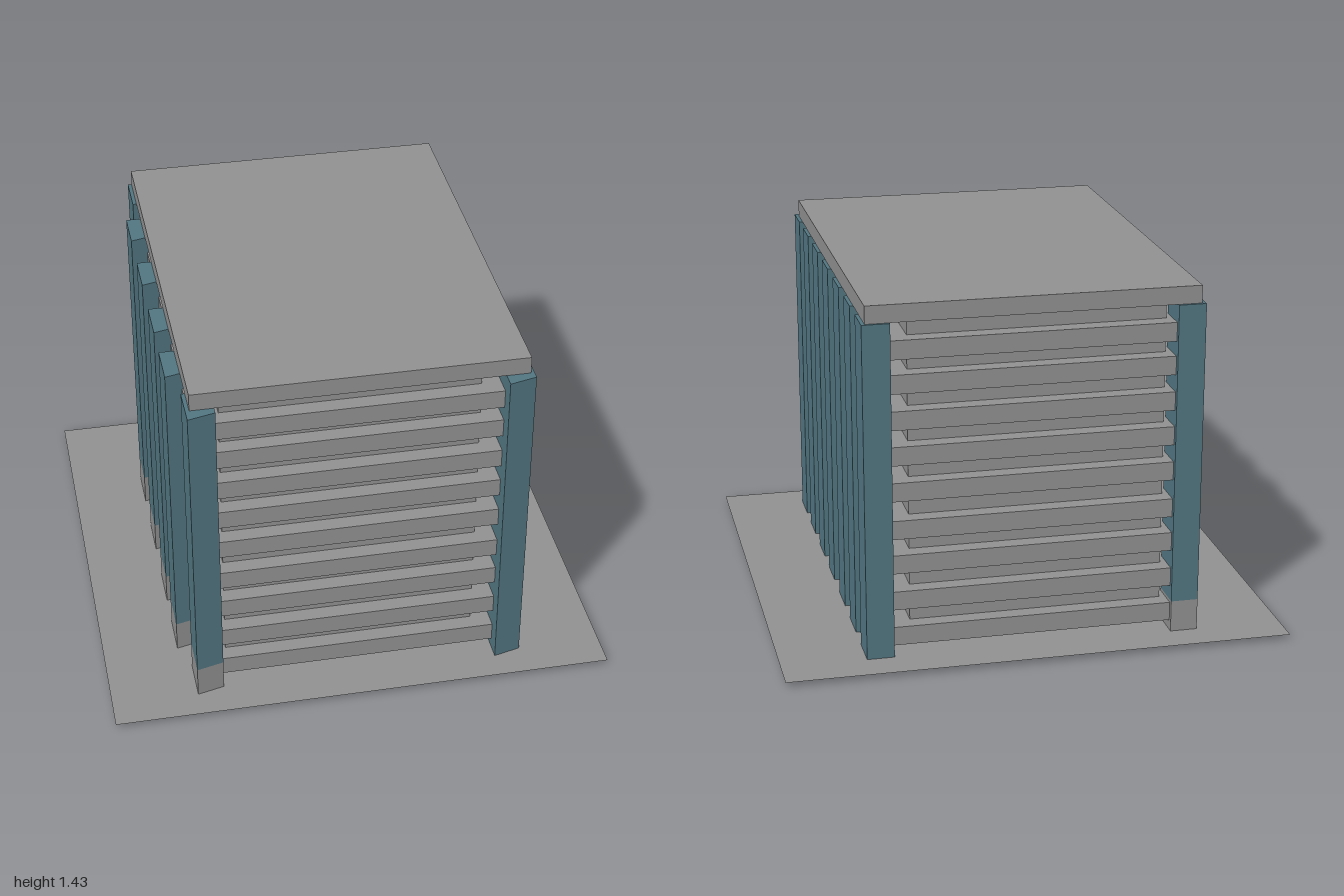
import * as THREE from 'three';

export function createModel() {
  const model = new THREE.Group();
  model.name = 'building';

  const concrete = new THREE.MeshStandardMaterial({ color: 0x909090 });
  concrete.name = 'concrete grey';
  const groundGrey = concrete.clone();
  groundGrey.name = 'ground grey';
  groundGrey.side = THREE.DoubleSide;
  const blue = new THREE.MeshStandardMaterial({ color: 0x527682 });
  blue.name = 'column blue';

  const add = (name, geometry, material, parent = model) => {
    const mesh = new THREE.Mesh(geometry, material);
    mesh.name = name;
    parent.add(mesh);
    return mesh;
  };

  // Box given by its minimum and maximum on each axis
  const block = (name, [x0, x1], [y0, y1], [z0, z1]) =>
    add(name, new THREE.BoxGeometry(x1 - x0, y1 - y0, z1 - z0), concrete)
      .position.set((x0 + x1) / 2, (y0 + y1) / 2, (z0 + z1) / 2);

  // Ground sheet, just above the column feet
  const ground = new THREE.PlaneGeometry(2, 2).rotateX(-Math.PI / 2);
  add('ground', ground, groundGrey).position.y = 0.02;

  // Recessed core, roof and projecting floor slabs
  block('core', [-0.525, 0.482], [0.047, 1.36], [-0.78, 0.76]);
  block('roof', [-0.642, 0.652], [1.36, 1.43], [-0.855, 0.83]);
  const slabBottoms = [0.06, 0.207, 0.356, 0.497, 0.65, 0.794, 0.935, 1.078, 1.212];
  for (const y of slabBottoms) {
    block('floorSlab', [-0.635, 0.64], [y, y + 0.075], [-0.845, 0.825]);
  }

  // Column prism whose front face slants back towards +x
  const footprint = new THREE.Shape([
    new THREE.Vector2(0, 0),
    new THREE.Vector2(0, -0.17),
    new THREE.Vector2(0.108, -0.143),
    new THREE.Vector2(0.108, 0),
  ]);
  const prism = (height) =>
    new THREE.ExtrudeGeometry(footprint, { depth: height, bevelEnabled: false })
      .rotateX(-Math.PI / 2);

  const columnTop = 1.36;
  const footHeight = 0.147;
  const fullColumn = prism(columnTop);
  const columnFoot = prism(footHeight);
  const columnShaft = prism(columnTop - footHeight);

  // Plain columns on the +x side
  for (const z of [-0.865, -0.605, -0.34, -0.065, 0.2, 0.462, 0.717]) {
    add('leftColumn', fullColumn, blue).position.set(0.558, 0, z);
  }

  // Columns with grey feet on the -x side; the middle ones stand further out
  [-0.865, -0.573, -0.228, 0.12, 0.428, 0.717].forEach((z, i, all) => {
    const column = new THREE.Group();
    column.name = 'rightColumn';
    const isCorner = i === 0 || i === all.length - 1;
    column.position.set(isCorner ? -0.657 : -0.7, 0, z);
    add('columnFoot', columnFoot, concrete, column);
    add('columnShaft', columnShaft, blue, column).position.y = footHeight;
    model.add(column);
  });

  return model;
}
